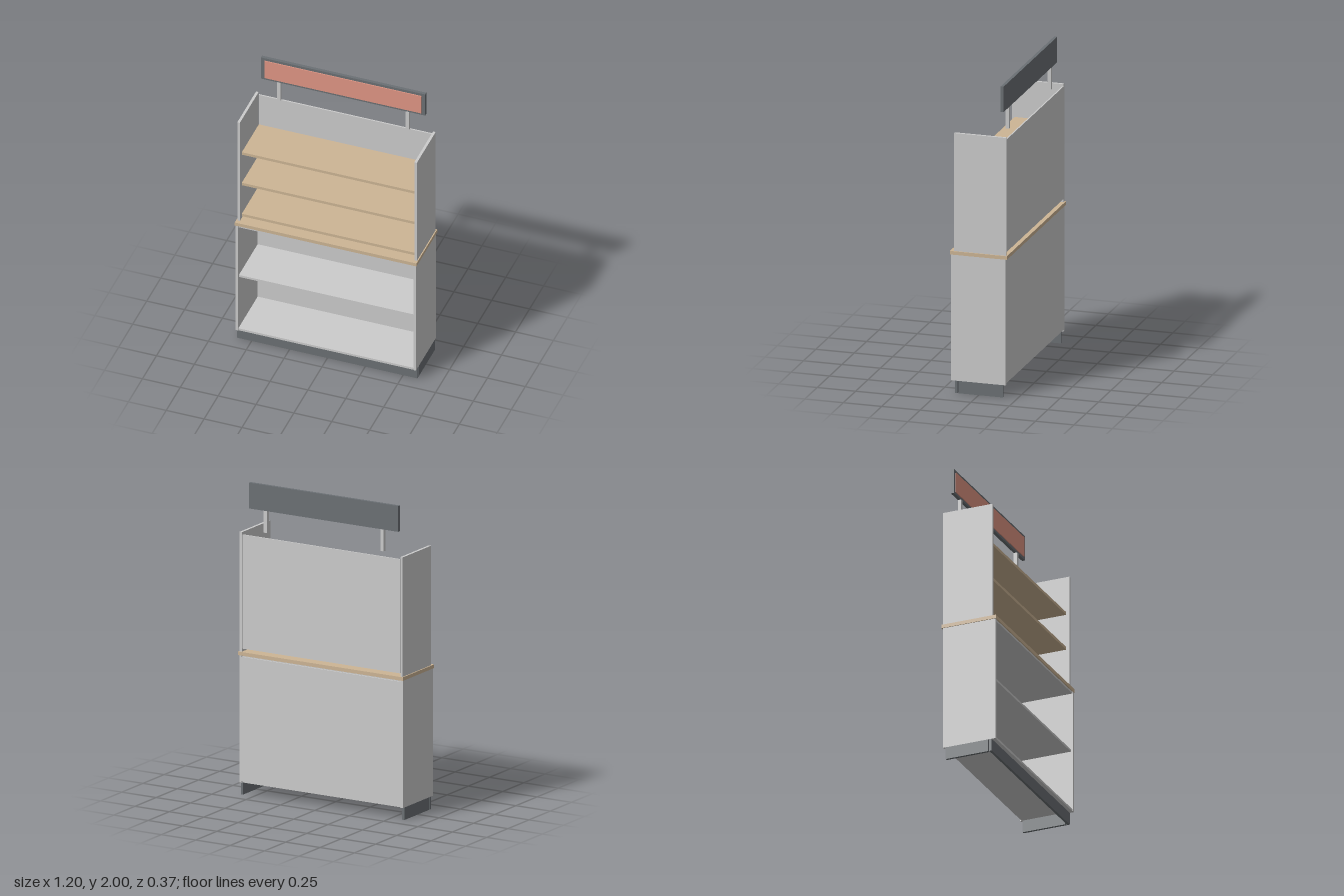
import * as THREE from 'three';

const grey = new THREE.MeshStandardMaterial({ color: 0xcccccc });
const wood = new THREE.MeshStandardMaterial({ color: 0xcdb595 });
const dark = new THREE.MeshStandardMaterial({ color: 0x6b7074 });
const red = new THREE.MeshStandardMaterial({ color: 0xe09684 });

export function createModel() {
  const model = new THREE.Group();

  // Box given by its lower and upper limits on each axis
  const box = (name, material, [x0, x1], [y0, y1], [z0, z1], parent = model) => {
    const mesh = new THREE.Mesh(new THREE.BoxGeometry(x1 - x0, y1 - y0, z1 - z0), material);
    mesh.position.set((x0 + x1) / 2, (y0 + y1) / 2, (z0 + z1) / 2);
    mesh.name = name;
    parent.add(mesh);
    return mesh;
  };
  // Box centred on x = 0
  const wide = (name, material, half, y, z, parent) => box(name, material, [-half, half], y, z, parent);
  // Mirrored pair of boxes
  const pair = (name, material, [x0, x1], y, z, parent) => {
    box(name + 'Left', material, [x0, x1], y, z, parent);
    box(name + 'Right', material, [-x1, -x0], y, z, parent);
  };
  const section = (name) => {
    const group = new THREE.Group();
    group.name = name;
    model.add(group);
    return group;
  };

  // Plinth, open at the back and below
  const plinth = section('plinth');
  wide('kickBoard', dark, 0.595, [0, 0.08], [0.138, 0.154], plinth);
  pair('plinthSide', dark, [0.579, 0.595], [0, 0.08], [-0.158, 0.13], plinth);

  // Lower cabinet
  const lower = section('lowerCabinet');
  pair('lowerSide', grey, [0.579, 0.595], [0.08, 0.897], [-0.176, 0.181], lower);
  wide('bottomPanel', grey, 0.579, [0.08, 0.095], [-0.166, 0.178], lower);
  wide('lowerShelf', grey, 0.579, [0.489, 0.504], [-0.166, 0.168], lower);
  wide('topPanel', grey, 0.579, [0.884, 0.897], [-0.166, 0.178], lower);
  wide('lowerBack', grey, 0.579, [0.09, 0.886], [-0.174, -0.166], lower);

  // Counter
  wide('counter', wood, 0.6, [0.897, 0.92], [-0.185, 0.185]);

  // Upper shelving
  const upper = section('upperShelving');
  pair('upperSide', grey, [0.576, 0.593], [0.92, 1.685], [-0.176, 0.159], upper);
  wide('upperBack', grey, 0.572, [0.94, 1.67], [-0.176, -0.167], upper);
  for (const y of [0.945, 1.187, 1.425]) {
    wide('upperShelf', wood, 0.57, [y, y + 0.019], [-0.163, 0.14], upper);
  }

  // Sign on two posts
  const sign = section('sign');
  pair('signPost', grey, [0.413, 0.436], [1.695, 1.835], [-0.146, -0.123], sign);
  wide('signBoard', dark, 0.542, [1.835, 2], [-0.146, -0.126], sign);
  wide('signFace', red, 0.518, [1.85, 1.982], [-0.126, -0.12], sign);

  return model;
}
